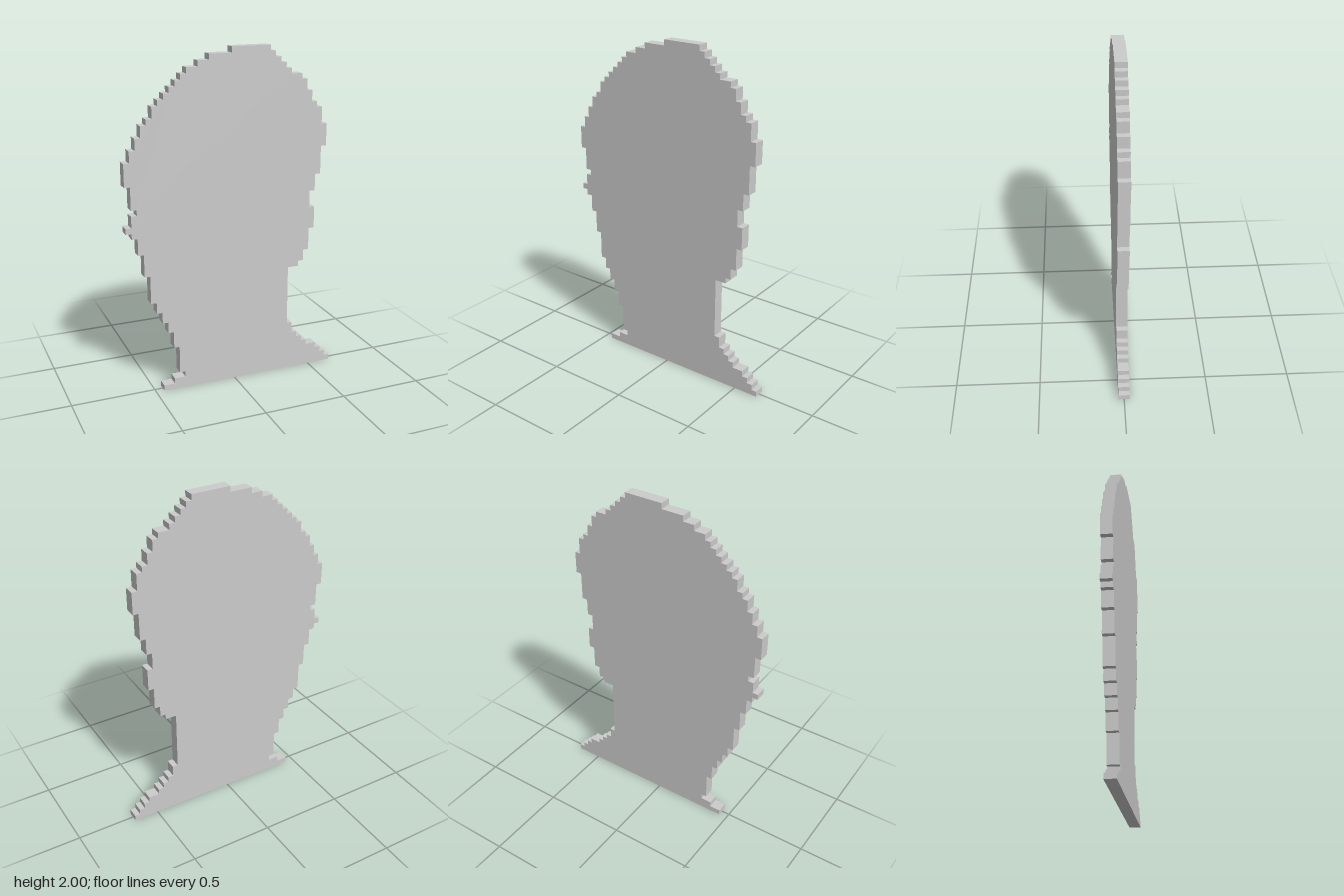
import * as THREE from 'three';

const CELL = 1 / 30; // size of one stair step
const COLS = 39;
const DEPTH = 2 * CELL;

// Stepped edges, bottom to top: [column of the edge, row where that run ends]
const leftEdge = [
  [6, 1], [8, 2], [10, 3], [9, 8], [8, 11], [7, 13], [6, 15], [5, 17],
  [4, 22], [3, 26], [2, 29], [1, 30], [0, 31], [1, 33], [2, 34], [1, 38],
  [0, 42], [1, 44], [2, 46], [3, 48], [4, 49], [5, 51], [6, 52], [7, 53],
  [8, 54], [9, 55], [10, 56], [11, 57], [13, 58], [15, 59], [19, 60],
];
const rightEdge = [
  [39, 1], [38, 2], [37, 3], [36, 4], [34, 5], [33, 6], [32, 7], [31, 9],
  [30, 20], [32, 21], [33, 23], [34, 27], [35, 31], [34, 34], [35, 37],
  [36, 42], [37, 46], [36, 49], [35, 50], [34, 52], [33, 54], [32, 55],
  [30, 56], [29, 57], [28, 58], [27, 59], [26, 60],
];

// Turns edge runs into the corners of a staircase
function stairs(runs) {
  let row = 0;
  return runs.flatMap(([col, end]) => {
    const x = (col - COLS / 2) * CELL;
    const corners = [new THREE.Vector2(x, row * CELL), new THREE.Vector2(x, end * CELL)];
    row = end;
    return corners;
  });
}

export function createModel() {
  const group = new THREE.Group();
  group.name = 'headSilhouette';

  // Flat head and neck plate, up the right edge and down the left
  const outline = new THREE.Shape([...stairs(rightEdge), ...stairs(leftEdge).reverse()]);
  const geometry = new THREE.ExtrudeGeometry(outline, { depth: DEPTH, bevelEnabled: false });
  geometry.translate(0, 0, -DEPTH / 2);

  const plate = new THREE.Mesh(
    geometry,
    new THREE.MeshStandardMaterial({ color: 0xcccccc, flatShading: true })
  );
  plate.name = 'headPlate';
  group.add(plate);
  return group;
}
